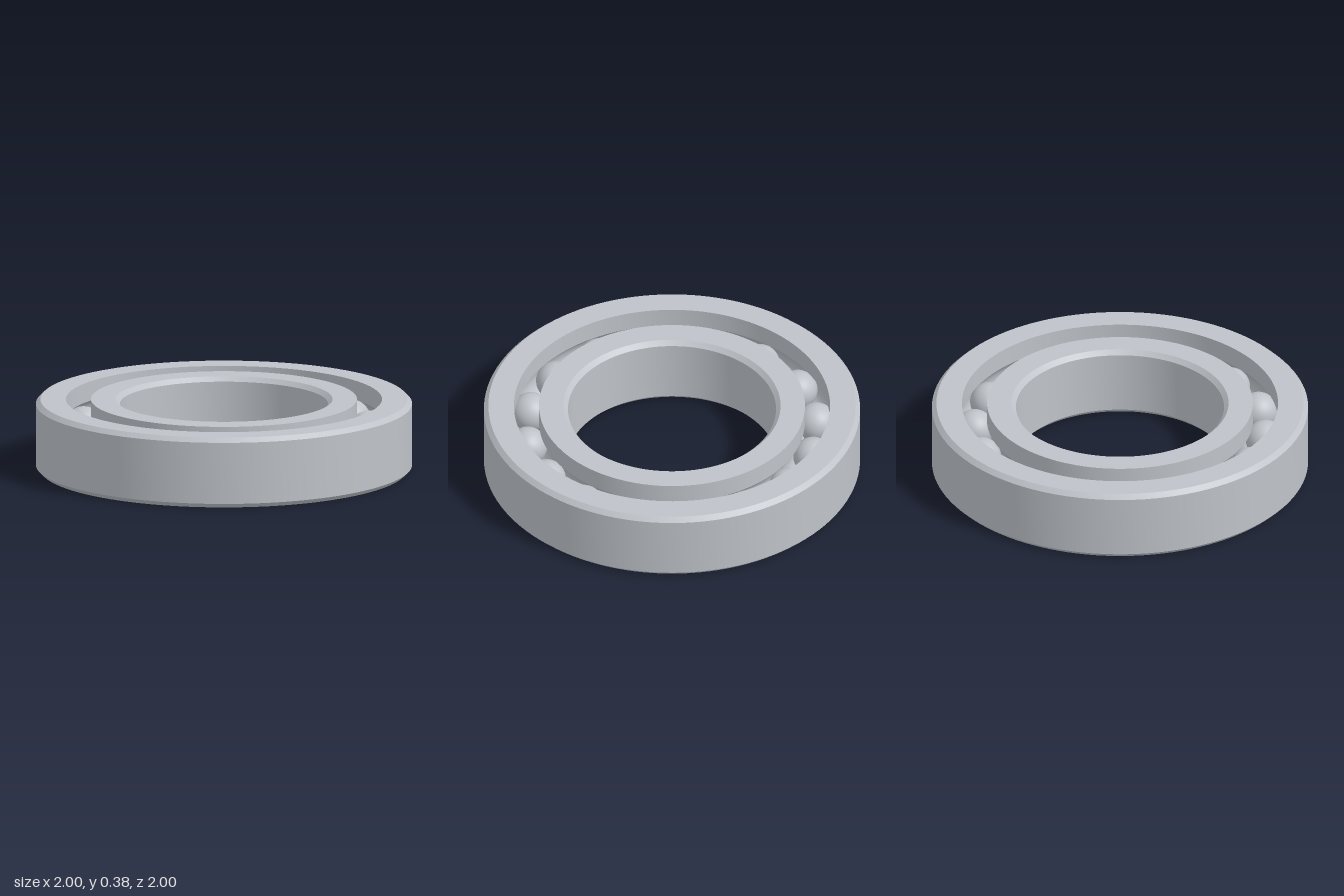
import * as THREE from 'three';
import { toCreasedNormals } from 'three/addons/utils/BufferGeometryUtils.js';

const HEIGHT = 0.38, MID = HEIGHT / 2;
const PITCH = 0.775;        // radius of the circle of balls
const BALL = 0.105, GROOVE = 0.107;
const BALL_COUNT = 16, CHAMFER = 0.024;

// Arc of the ball groove cut into a race wall at radius wall
function groove(wall, up) {
  const side = Math.sign(wall - PITCH);
  const half = Math.acos(Math.abs(wall - PITCH) / GROOVE);
  const points = [];
  for (let i = 0; i <= 16; i++) {
    const a = (up ? -1 : 1) * half * (1 - i / 8);
    points.push([PITCH + side * GROOVE * Math.cos(a), MID + GROOVE * Math.sin(a)]);
  }
  return points;
}

// Closed profile turned about y, with sharp edges kept
function ring(name, profile, material) {
  const points = [...profile, profile[0]].map(([r, y]) => new THREE.Vector2(r, y));
  const geometry = toCreasedNormals(new THREE.LatheGeometry(points, 120), 0.4);
  const mesh = new THREE.Mesh(geometry, material);
  mesh.name = name;
  return mesh;
}

export function createModel() {
  const steel = new THREE.MeshStandardMaterial({ color: 0xbfc3c9 });
  steel.name = 'steel';
  const model = new THREE.Group();
  model.name = 'ballBearing';

  // Outer race: chamfered outside, grooved inside
  const outerWall = 0.84;
  model.add(ring('outerRace', [
    [outerWall, 0], [1 - CHAMFER, 0], [1, CHAMFER],
    [1, HEIGHT - CHAMFER], [1 - CHAMFER, HEIGHT], [outerWall, HEIGHT],
    ...groove(outerWall, false),
  ], steel));

  // Inner race: grooved outside, chamfered bore
  const innerWall = 0.707, bore = 0.553;
  model.add(ring('innerRace', [
    [innerWall, 0], ...groove(innerWall, true), [innerWall, HEIGHT],
    [bore + CHAMFER, HEIGHT], [bore, HEIGHT - CHAMFER],
    [bore, CHAMFER], [bore + CHAMFER, 0],
  ], steel));

  // Balls spaced evenly between the races
  const balls = new THREE.Group();
  balls.name = 'balls';
  const ballGeometry = new THREE.SphereGeometry(BALL, 32, 20);
  for (let i = 0; i < BALL_COUNT; i++) {
    const a = (i / BALL_COUNT) * Math.PI * 2;
    const ball = new THREE.Mesh(ballGeometry, steel);
    ball.name = 'ball';
    ball.position.set(PITCH * Math.cos(a), MID, PITCH * Math.sin(a));
    balls.add(ball);
  }
  model.add(balls);
  return model;
}
